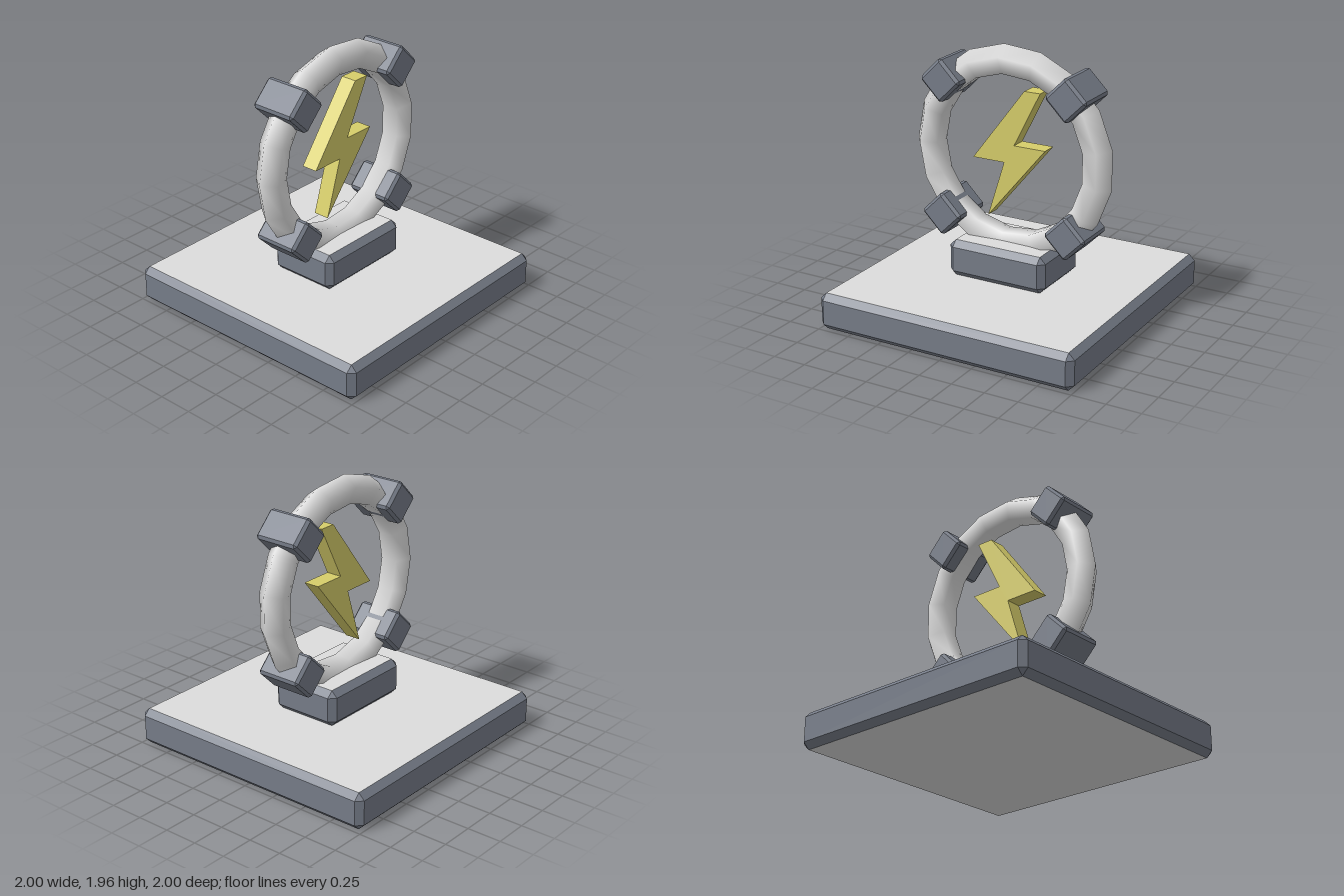
import * as THREE from 'three';
import { ConvexGeometry } from 'three/addons/geometries/ConvexGeometry.js';

const mat = (name, color) => new THREE.MeshStandardMaterial({ name, color });

// Box with every edge chamfered by c; top and bottom faces form group 1
function chamferBox(w, h, d, c) {
  const half = [w / 2, h / 2, d / 2];
  const points = [];
  for (const sx of [-1, 1]) for (const sy of [-1, 1]) for (const sz of [-1, 1]) {
    for (let axis = 0; axis < 3; axis++) {
      const p = half.map((v, i) => (i === axis ? v : v - c));
      points.push(new THREE.Vector3(p[0] * sx, p[1] * sy, p[2] * sz));
    }
  }
  const geo = new ConvexGeometry(points);
  const normal = geo.attributes.normal;
  for (let i = 0; i < normal.count; i += 3) {
    geo.addGroup(i, 3, Math.abs(normal.getY(i)) > 0.99 ? 1 : 0);
  }
  return geo;
}

export function createModel() {
  const slate = mat('slate', 0x767c88);
  const pale = mat('paleGrey', 0xdcdcdc);
  const yellow = mat('yellow', 0xd6cd6a);
  const model = new THREE.Group();
  const centreY = 1.177;

  const add = (name, geo, material, x, y, z) => {
    const mesh = new THREE.Mesh(geo, material);
    mesh.name = name;
    mesh.position.set(x, y, z);
    model.add(mesh);
    return mesh;
  };

  // Square base and the pedestal on it
  add('base', chamferBox(2, 0.27, 2, 0.045), [slate, pale], 0, 0.135, 0);
  add('pedestal', chamferBox(0.77, 0.27, 0.54, 0.045), [slate, pale], 0, 0.405, 0);

  // Upright ring, five-sided in section
  const ring = add('ring', new THREE.TorusGeometry(0.675, 0.11, 5, 17), pale, 0, centreY, 0);
  ring.rotation.z = Math.PI;

  // Four clamps on the diagonals
  const clampGeo = chamferBox(0.235, 0.235, 0.35, 0.02);
  for (const [sx, side] of [[1, 'Left'], [-1, 'Right']]) {
    for (const [sy, level] of [[1, 'upper'], [-1, 'lower']]) {
      const clamp = add(`${level}${side}Clamp`, clampGeo, [slate, slate],
        sx * 0.495, centreY + sy * 0.495, 0);
      clamp.rotation.z = Math.PI / 4;
    }
  }

  // Lightning bolt floating inside the ring
  const outline = [[0.12, 1.66], [-0.29, 1.12], [-0.04, 1.12], [-0.17, 0.705],
    [0.285, 1.255], [0.04, 1.255], [0.245, 1.66]];
  const shape = new THREE.Shape(outline.map(([x, y]) => new THREE.Vector2(x, y)));
  const boltGeo = new THREE.ExtrudeGeometry(shape, { depth: 0.12, bevelEnabled: false });
  add('lightningBolt', boltGeo, yellow, 0, 0, -0.06);

  return model;
}
